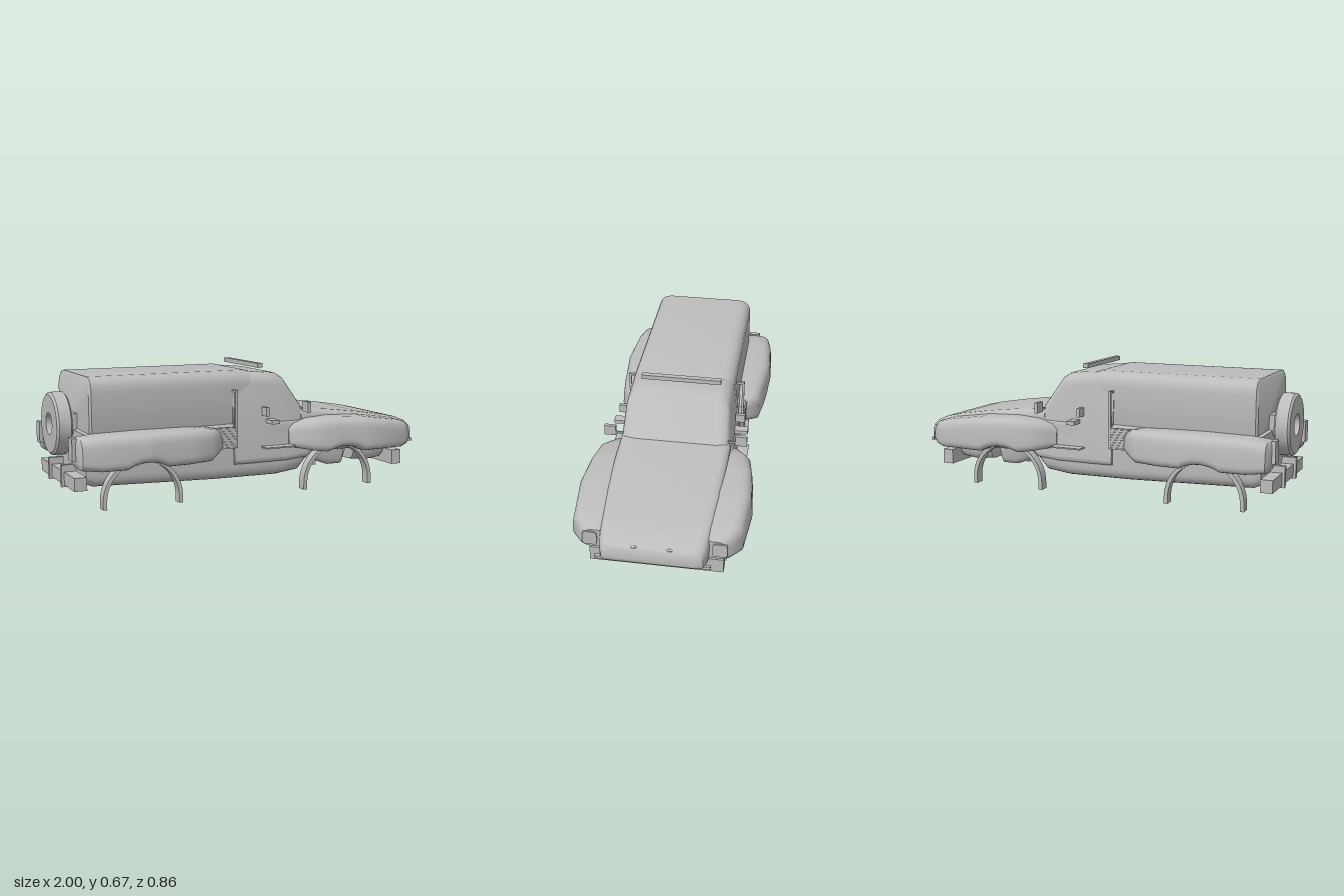
import * as THREE from 'three';
import { toCreasedNormals } from 'three/addons/utils/BufferGeometryUtils.js';

const paint = new THREE.MeshStandardMaterial({ color: 0xbcbcbc, side: THREE.DoubleSide });
paint.name = 'greyPaint';

// Rounded quadrilateral in the (z, y) plane; corners run counter-clockwise seen from +x
function ring(corners, radii, steps = 5) {
  const pts = [];
  corners.forEach((c, i) => {
    const c0 = new THREE.Vector2(...c);
    const prev = new THREE.Vector2(...corners[(i + 3) % 4]).sub(c0);
    const next = new THREE.Vector2(...corners[(i + 1) % 4]).sub(c0);
    const r = Math.min(radii[i], prev.length() * 0.48, next.length() * 0.48);
    const a = prev.setLength(r).add(c0), b = next.setLength(r).add(c0);
    for (let k = 0; k <= steps; k++) {
      const t = k / steps;
      pts.push([0, 1].map((n) => {
        const p = n ? 'y' : 'x';
        return (1 - t) ** 2 * a[p] + 2 * t * (1 - t) * c0[p] + t * t * b[p];
      }));
    }
  });
  return pts;
}

// Skin a closed body over rings placed along x
function loft(name, sections, crease = 0.6) {
  const n = sections[0].pts.length, pos = [], index = [];
  sections.forEach((s) => s.pts.forEach(([z, y]) => pos.push(s.x, y, z)));
  for (let i = 0; i < sections.length - 1; i++) {
    for (let k = 0; k < n; k++) {
      const a = i * n + k, b = i * n + (k + 1) % n;
      index.push(a, b, b + n, a, b + n, a + n);
    }
  }
  const end = (sections.length - 1) * n;
  for (let k = 1; k < n - 1; k++) {
    index.push(0, k + 1, k, end, end + k, end + k + 1);
  }
  const g = new THREE.BufferGeometry();
  g.setAttribute('position', new THREE.Float32BufferAttribute(pos, 3));
  g.setIndex(index);
  return part(name, toCreasedNormals(g, crease));
}

function part(name, geometry) {
  const m = new THREE.Mesh(geometry, paint);
  m.name = name;
  return m;
}

// Box given by its limits
function box(name, x0, x1, y0, y1, z0, z1) {
  const m = part(name, new THREE.BoxGeometry(x1 - x0, y1 - y0, Math.abs(z1 - z0)));
  m.position.set((x0 + x1) / 2, (y0 + y1) / 2, (z0 + z1) / 2);
  return m;
}

// Symmetric hull; rows: x, bottom y, top y, bottom half width, top half width
function hull(name, rows, rBottom, rTop) {
  return loft(name, rows.map(([x, y0, y1, wb, wt]) => ({
    x,
    pts: ring([[-wb, y0], [-wt, y1], [wt, y1], [wb, y0]], [rBottom, rTop, rTop, rBottom]),
  })));
}

// Fender on one side; rows: x, bottom y, top y, outer z. The bottom is notched over the wheel
function fender(name, rows, wheelX, side) {
  const xs = rows.map((r) => r[0]);
  for (let i = -4; i <= 4; i++) xs.push(wheelX + i * 0.026);
  xs.sort((a, b) => a - b);
  const inner = 0.25;
  return loft(name, xs.map((x) => {
    const j = Math.max(1, rows.findIndex((r) => r[0] >= x));
    const t = (x - rows[j - 1][0]) / (rows[j][0] - rows[j - 1][0]);
    const [, low, top, outer] = rows[j].map((v, k) => THREE.MathUtils.lerp(rows[j - 1][k], v, t));
    const arch = 0.03 + Math.sqrt(Math.max(0, 0.04 - (x - wheelX) ** 2));
    const y0 = Math.max(low, arch);
    const a = side > 0 ? inner : -outer, b = side > 0 ? outer : -inner;
    const r = side > 0 ? [0.005, 0.015, 0.055, 0.04] : [0.04, 0.055, 0.015, 0.005];
    const slope = 0.012 * side;
    const corners = [[a, y0], [a, top], [b, top], [b, y0]];
    corners[side > 0 ? 2 : 1][0] -= slope;
    return { x, pts: ring(corners, r) };
  }), 0.7);
}

// Thin wheel-arch hoop standing on the ground
function hoop(x, side) {
  const R = 0.207, r = 0.187, y = 0.035;
  const s = new THREE.Shape();
  s.moveTo(R, 0);
  s.lineTo(R, y);
  s.absarc(0, y, R, 0, Math.PI, false);
  s.lineTo(-R, 0);
  s.lineTo(-r, 0);
  s.lineTo(-r, y);
  s.absarc(0, y, r, Math.PI, 0, true);
  s.lineTo(r, 0);
  const g = new THREE.ExtrudeGeometry(s, { depth: 0.05, bevelEnabled: false, curveSegments: 20 });
  const m = part('wheelArchHoop', toCreasedNormals(g, 0.6));
  m.position.set(x, 0, side > 0 ? 0.27 : -0.32);
  return m;
}

export function createModel() {
  const model = new THREE.Group();
  model.name = 'utilityTruck';

  // Main body
  model.add(
    hull('lowerBody', [
      [-0.89, 0.115, 0.36, 0.25, 0.27], [-0.85, 0.1, 0.37, 0.265, 0.27],
      [-0.45, 0.09, 0.37, 0.275, 0.275], [-0.2, 0.085, 0.37, 0.285, 0.28],
      [0.13, 0.085, 0.37, 0.295, 0.295], [0.26, 0.1, 0.37, 0.29, 0.295], [0.32, 0.16, 0.37, 0.28, 0.285],
    ], 0.06, 0.02),
    hull('cargoBox', [
      [-0.872, 0.3, 0.62, 0.262, 0.255], [-0.862, 0.3, 0.635, 0.27, 0.268],
      [-0.02, 0.3, 0.635, 0.27, 0.268], [0.0, 0.3, 0.63, 0.268, 0.262],
    ], 0.01, 0.075),
    hull('cab', [
      [-0.12, 0.16, 0.6, 0.305, 0.258], [-0.02, 0.16, 0.63, 0.31, 0.262], [0.08, 0.16, 0.622, 0.31, 0.262],
      [0.15, 0.16, 0.615, 0.31, 0.26], [0.18, 0.16, 0.595, 0.31, 0.263],
      [0.3, 0.17, 0.425, 0.305, 0.272], [0.34, 0.19, 0.4, 0.29, 0.27],
    ], 0.03, 0.065),
    hull('hood', [
      [0.27, 0.19, 0.425, 0.28, 0.285], [0.45, 0.19, 0.41, 0.28, 0.285], [0.65, 0.19, 0.385, 0.275, 0.28],
      [0.82, 0.19, 0.358, 0.265, 0.27], [0.9, 0.19, 0.34, 0.26, 0.262], [0.96, 0.2, 0.317, 0.255, 0.25],
      [0.99, 0.21, 0.295, 0.245, 0.235], [1.0, 0.23, 0.265, 0.225, 0.215],
    ], 0.03, 0.045),
    hull('frontPan', [
      [0.62, 0.12, 0.22, 0.23, 0.26], [0.72, 0.11, 0.22, 0.24, 0.26],
      [0.8, 0.12, 0.22, 0.24, 0.26], [0.83, 0.15, 0.22, 0.23, 0.25],
    ], 0.04, 0.01),
    hull('frontAxleHousing', [
      [0.41, 0.125, 0.21, 0.2, 0.23], [0.48, 0.1, 0.21, 0.22, 0.24],
      [0.56, 0.1, 0.21, 0.22, 0.24], [0.58, 0.13, 0.2, 0.2, 0.23],
    ], 0.03, 0.01),
  );

  // Bumpers, roof bar and nose details
  model.add(
    box('frontBumper', 0.815, 0.872, 0.095, 0.172, -0.325, 0.325),
    box('noseStrip', 0.966, 0.982, 0.205, 0.22, -0.275, 0.275),
    box('roofBar', 0.055, 0.082, 0.642, 0.665, -0.206, 0.206),
    box('rearBumper', -0.962, -0.9, 0.1, 0.165, -0.3, 0.3),
  );
  for (const z of [-0.085, 0.085]) {
    const nub = part('noseNub', new THREE.SphereGeometry(0.016, 12, 8));
    nub.scale.set(0.6, 0.35, 1);
    nub.position.set(0.98, 0.299, z);
    model.add(nub);
  }

  // Spare wheel with an open hub
  const profile = [[0.055, 0.04], [0.055, -0.04], [0.145, -0.04], [0.157, -0.03], [0.157, 0.03], [0.145, 0.04], [0.055, 0.04]];
  const spare = part('spareWheel', toCreasedNormals(
    new THREE.LatheGeometry(profile.map((p) => new THREE.Vector2(...p)).reverse(), 32), 0.6));
  spare.rotation.z = Math.PI / 2;
  spare.position.set(-0.958, 0.39, 0);
  model.add(spare, box('spareMount', -0.92, -0.865, 0.34, 0.44, -0.06, 0.06));

  // Parts on both sides
  const frontRows = [
    [0.19, 0.235, 0.33, 0.31], [0.22, 0.228, 0.355, 0.34], [0.3, 0.215, 0.377, 0.4], [0.42, 0.2, 0.385, 0.42],
    [0.6, 0.2, 0.378, 0.435], [0.83, 0.2, 0.345, 0.415], [0.89, 0.205, 0.328, 0.37], [0.91, 0.215, 0.315, 0.35],
  ];
  const rearRows = [
    [-0.96, 0.235, 0.345, 0.36], [-0.945, 0.21, 0.358, 0.395], [-0.85, 0.2, 0.368, 0.412], [-0.62, 0.2, 0.372, 0.425],
    [-0.4, 0.2, 0.37, 0.405], [-0.28, 0.205, 0.365, 0.39], [-0.23, 0.225, 0.355, 0.35], [-0.19, 0.25, 0.34, 0.315],
  ];
  for (const s of [1, -1]) {
    const sideBox = (name, x0, x1, y0, y1, z0, z1) => model.add(box(name, x0, x1, y0, y1, s * z0, s * z1));
    model.add(
      fender('frontFender', frontRows, 0.478, s),
      fender('rearFender', rearRows, -0.622, s),
      hoop(0.478, s), hoop(-0.622, s),
    );
    sideBox('mirror', 0.265, 0.283, 0.415, 0.47, 0.308, 0.367);
    sideBox('mirrorArm', 0.27, 0.278, 0.425, 0.435, 0.27, 0.31);
    sideBox('sideLamp', 0.04, 0.057, 0.405, 0.45, 0.285, 0.335);
    sideBox('doorHandle', 0.062, 0.108, 0.365, 0.385, 0.285, 0.355);
    sideBox('sideStep', 0.03, 0.2, 0.24, 0.247, 0.29, 0.36);
    sideBox('exhaustStack', -0.122, -0.11, 0.25, 0.545, 0.3, 0.312);
    sideBox('stackBracket', -0.122, -0.11, 0.533, 0.545, 0.255, 0.302);
    sideBox('rearBumperBracket', -0.975, -0.9, 0.09, 0.2, 0.1, 0.125);
    sideBox('rearLampPanel', -0.978, -0.955, 0.25, 0.36, 0.265, 0.325);
    sideBox('sideVentBacking', -0.23, -0.12, 0.25, 0.36, 0.306, 0.314);
    for (let i = 0; i < 8; i++) {
      const y = 0.253 + i * 0.0135;
      sideBox('sideVentSlat', -0.228, -0.122, y, y + 0.006, 0.313, 0.32);
    }
    // Rounded headlamp plate on the fender front
    const lamp = loft('headlamp', [0.88, 0.917].map((x) => ({
      x, pts: ring([[s * 0.31 - 0.035, 0.23], [s * 0.31 - 0.035, 0.305], [s * 0.31 + 0.035, 0.305], [s * 0.31 + 0.035, 0.23]],
        [0.015, 0.02, 0.02, 0.015]),
    })));
    model.add(lamp);
  }
  return model;
}
